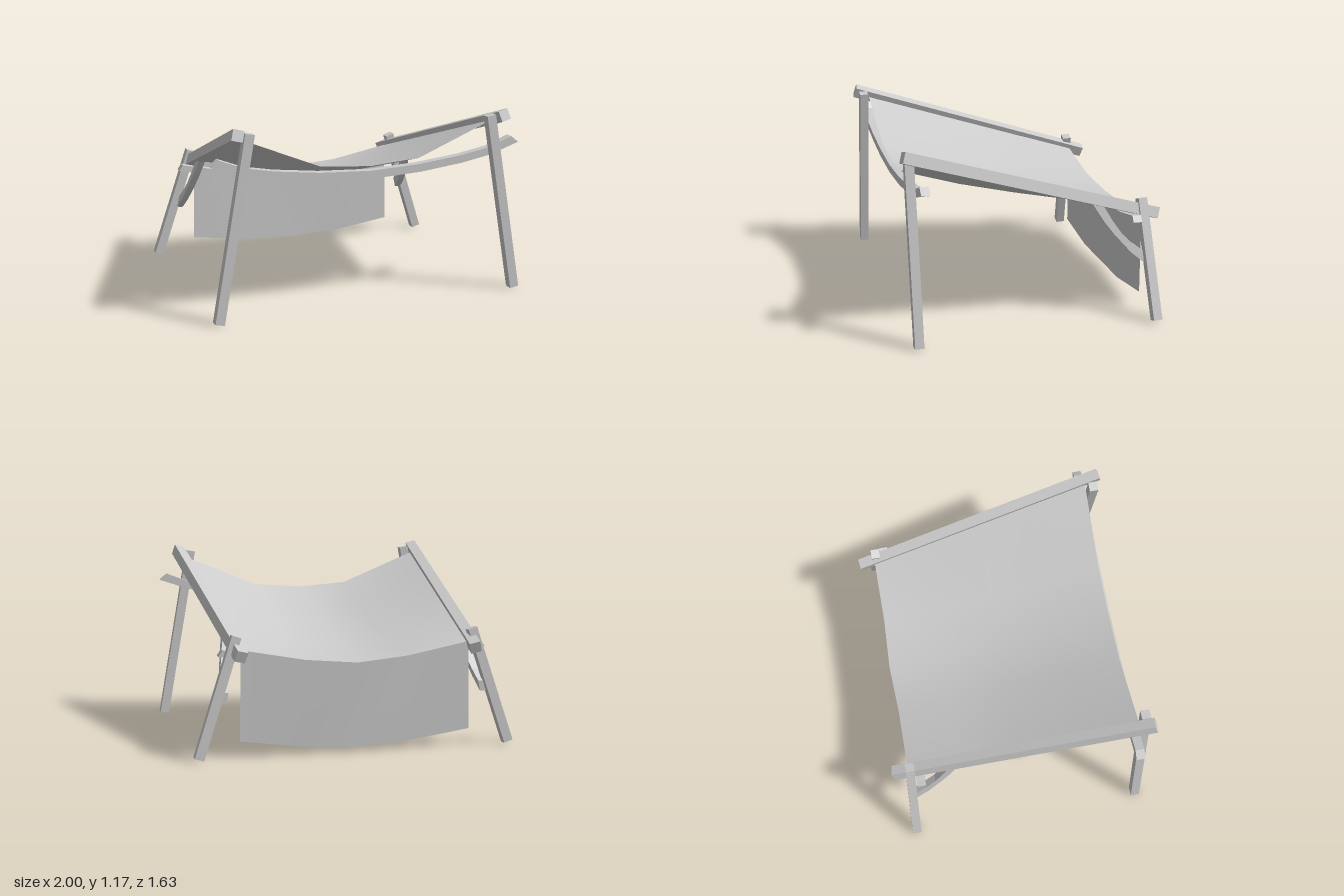
import * as THREE from 'three';

const wood = new THREE.MeshStandardMaterial({ color: 0xcccccc, flatShading: true });
const cloth = new THREE.MeshStandardMaterial({ color: 0xcccccc, side: THREE.DoubleSide });

export function createModel() {
  const group = new THREE.Group();
  const add = (name, geometry, material = wood) => {
    const mesh = new THREE.Mesh(geometry, material);
    mesh.name = name;
    group.add(mesh);
  };

  // Straight square timber from a to b; "up" sets the roll of its section
  const timber = (name, a, b, w, h, up) => {
    const p = new THREE.Vector3(...a), q = new THREE.Vector3(...b);
    const z = q.clone().sub(p), length = z.length();
    z.normalize();
    const x = new THREE.Vector3(...up).cross(z).normalize();
    const y = z.clone().cross(x);
    const m = new THREE.Matrix4().makeBasis(x, y, z).setPosition(p.add(q).multiplyScalar(0.5));
    add(name, new THREE.BoxGeometry(w, h, length).applyMatrix4(m));
  };

  // Curved timber: outline from a lower and an upper edge, centred in depth
  const curved = (lower, upper, depth) => {
    const outline = [...lower, ...[...upper].reverse()].map(p => new THREE.Vector2(...p));
    return new THREE.ExtrudeGeometry(new THREE.Shape(outline), { depth, bevelEnabled: false })
      .translate(0, 0, -depth / 2);
  };
  const mirrored = half => [...half.slice(1).reverse().map(([x, y]) => [-x, y]), ...half];

  // Grid of cloth from rows of points
  const sheet = (name, rows) => {
    const n = rows[0].length, index = [];
    for (let i = 0; i < rows.length - 1; i++)
      for (let j = 0; j < n - 1; j++) {
        const a = i * n + j, b = a + 1, c = a + n, d = c + 1;
        index.push(a, b, c, b, d, c);
      }
    const g = new THREE.BufferGeometry();
    g.setAttribute('position', new THREE.Float32BufferAttribute(rows.flat(2), 3));
    g.setIndex(index);
    g.computeVertexNormals();
    add(name, g, cloth);
  };

  // Legs, sloping rails and curved braces on both sides
  const braceLower = [[-0.70, 0.33], [-0.605, 0.41], [-0.50, 0.53], [-0.44, 0.61], [-0.375, 0.715]];
  const braceUpper = [[-0.70, 0.395], [-0.62, 0.46], [-0.55, 0.53], [-0.495, 0.61], [-0.435, 0.715]];
  for (const s of [1, -1]) {
    const side = s > 0 ? 'Left' : 'Right';
    timber('frontLeg' + side, [s * 0.97, 0.005, 0.753], [s * 0.77, 1.125, 0.753], 0.058, 0.055, [0, 0, 1]);
    timber('backLeg' + side, [s * 0.97, 0.012, -0.728], [s * 0.735, 0.725, -0.693], 0.058, 0.055, [0, 0, 1]);
    timber('rail' + side, [s * 0.848, 1.127, 0.8], [s * 0.724, 0.618, -0.8], 0.066, 0.068, [-s * 0.25, 1, 0]);
    const lean = new THREE.Matrix4().set(1, -0.2 * s, 0, 0.885 * s, 0, 1, 0, 0, 0, 0, 1, 0, 0, 0, 0, 1);
    add('brace' + side, curved(braceLower, braceUpper, 0.045).rotateY(-Math.PI / 2).applyMatrix4(lean));
  }

  // Bowed cross beams with slanted ends
  add('frontCrossBeam', curved(
    mirrored([[0, 0.785], [0.32, 0.80], [0.6, 0.833], [0.8, 0.87], [0.99, 0.935]]),
    mirrored([[0, 0.835], [0.32, 0.85], [0.6, 0.882], [0.79, 0.917], [0.94, 0.975]]), 0.055).translate(0, 0, 0.697));
  add('backCrossBeam', curved(
    mirrored([[0, 0.50], [0.32, 0.518], [0.6, 0.558], [0.835, 0.605]]),
    mirrored([[0, 0.545], [0.32, 0.56], [0.6, 0.598], [0.81, 0.642]]), 0.055).translate(0, 0, -0.638));

  // Sagging canopy: height at centre, at x = 0.32 and at the rail, from front to back
  const strip = (z, centre, mid, edge, halfWidth, bow = 0) => [
    [-halfWidth, edge, z], [-0.32, mid, z], [0, centre, z - bow], [0.32, mid, z], [halfWidth, edge, z]];
  const canopy = [[0.71, 0.86, 0.885], [0.35, 0.748, 0.775], [0, 0.663, 0.69], [-0.35, 0.588, 0.615], [-0.708, 0.545, 0.572]]
    .map(([z, centre, mid]) => strip(z, centre, mid, 0.865 + 0.31 * z, 0.76 + 0.07 * z, z < -0.7 ? 0.015 : 0));
  sheet('canopy', canopy.reverse());

  // Cloth flap hanging from the back edge
  sheet('backFlap', [strip(-0.708, 0.03, 0.045, 0.10, 0.72, 0.015), canopy[0]]);

  return group;
}
